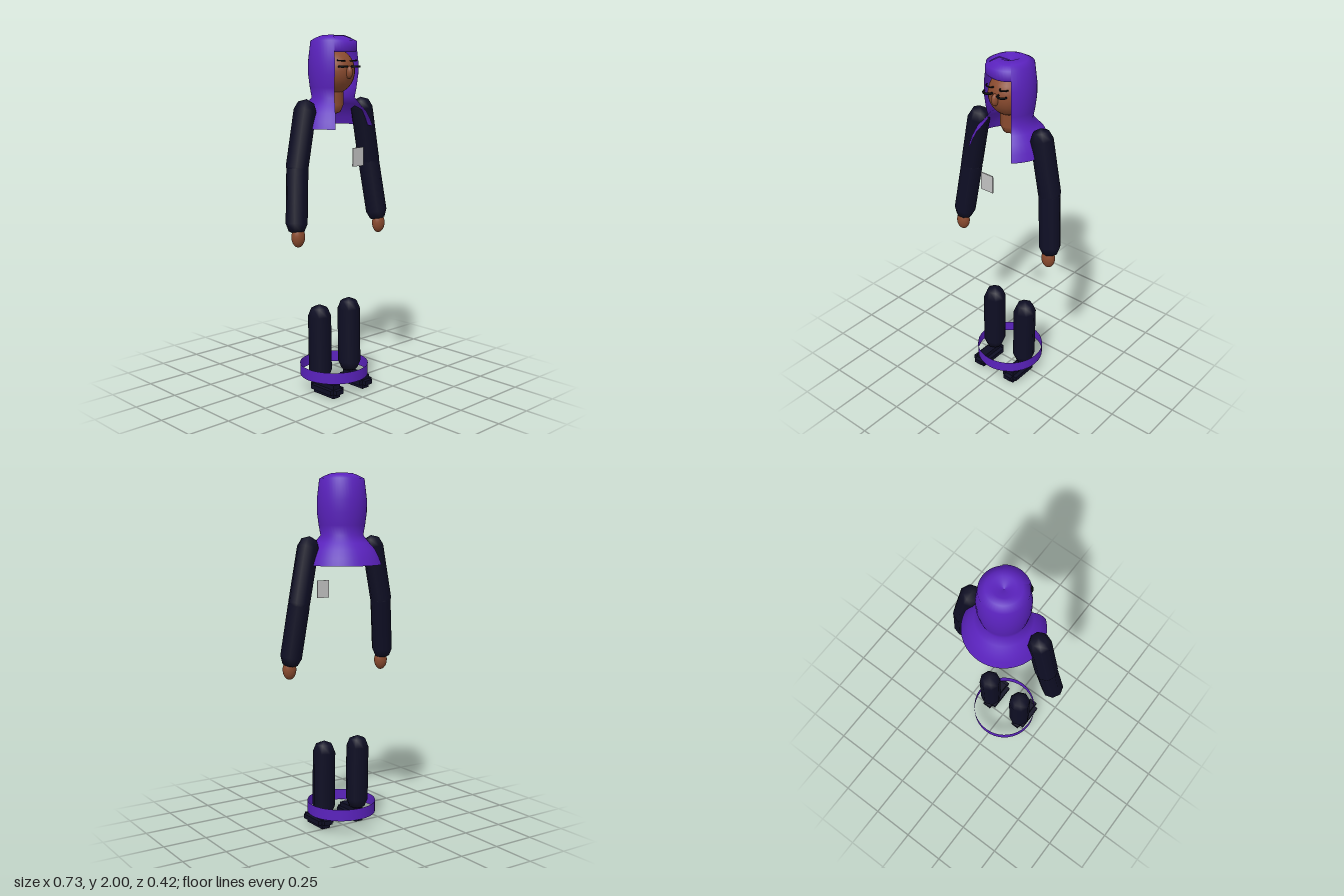
import * as THREE from 'three';

const paint = (name, color, side = THREE.FrontSide) => {
  const m = new THREE.MeshStandardMaterial({ color, side });
  m.name = name;
  return m;
};

export function createModel() {
  const model = new THREE.Group();
  const purple = paint('purple cloth', 0x5a22bd, THREE.DoubleSide);
  const navy = paint('dark navy cloth', 0x0e0e24);
  const skin = paint('brown skin', 0x8a4b2f);
  const black = paint('black', 0x0a0a0c);
  const silver = paint('silver', 0xc4c4c4);

  const add = (name, geometry, material, x = 0, y = 0, z = 0) => {
    const mesh = new THREE.Mesh(geometry, material);
    mesh.name = name;
    mesh.position.set(x, y, z);
    model.add(mesh);
    return mesh;
  };
  const ball = (name, material, pos, size) => {
    const mesh = add(name, new THREE.SphereGeometry(1, 24, 16), material, ...pos);
    mesh.scale.set(...size);
    return mesh;
  };
  // Low-sided capsule between two end centres
  const limb = (name, material, from, to, r) => {
    const a = new THREE.Vector3(...from), b = new THREE.Vector3(...to);
    const dir = b.clone().sub(a);
    const mesh = add(name, new THREE.CapsuleGeometry(r, dir.length(), 2, 8), material);
    mesh.position.copy(a).add(b).multiplyScalar(0.5);
    mesh.quaternion.setFromUnitVectors(new THREE.Vector3(0, 1, 0), dir.normalize());
    return mesh;
  };
  const lathe = (name, pts, segments, start, length) =>
    add(name, new THREE.LatheGeometry(pts.map(p => new THREE.Vector2(...p)), segments, start, length),
      purple, 0, 0, 0.01);

  // Hood with an open front, dimpled crown and flared shoulder cape
  const gap = 0.7;
  lathe('hood', [
    [0.22, 1.505], [0.205, 1.545], [0.182, 1.59], [0.15, 1.625], [0.118, 1.665],
    [0.128, 1.72], [0.137, 1.79], [0.137, 1.86], [0.124, 1.97], [0.09, 1.988], [0.057, 2], [0, 1.975],
  ], 36, gap, Math.PI * 2 - gap * 2);
  lathe('hoodBrow', [
    [0.118, 1.908], [0.13, 1.92], [0.13, 1.968], [0.09, 1.985], [0.057, 1.997], [0, 1.973],
  ], 10, -gap, gap * 2);

  // Head and neck
  ball('head', skin, [0, 1.807, 0.01], [0.113, 0.124, 0.125]);
  ball('nose', skin, [0, 1.802, 0.132], [0.018, 0.034, 0.024]);
  limb('neck', skin, [0, 1.625, 0.01], [0, 1.72, 0.01], 0.056);

  // Badge on the chest
  add('badge', new THREE.BoxGeometry(0.08, 0.1, 0.007), silver, 0, 1.353, 0.204);

  // Hem band of the robe
  add('hemBand', new THREE.CylinderGeometry(0.195, 0.195, 0.065, 40, 1, true), purple, 0, 0.118, 0.017);

  for (const s of [1, -1]) {
    // Closed eye with lashes, and brow: half rings lying flat
    const eye = add('eye', new THREE.TorusGeometry(0.026, 0.006, 6, 16, Math.PI), black, s * 0.047, 1.832, 0.13);
    eye.rotation.x = Math.PI / 2;
    const brow = add('eyebrow', new THREE.TorusGeometry(0.023, 0.004, 6, 16, Math.PI), black, s * 0.045, 1.863, 0.113);
    brow.rotation.set(Math.PI / 2, s * 0.08, 0);

    // Arm
    limb('upperArm', navy, [s * 0.215, 1.602, 0.018], [s * 0.274, 1.3, 0.018], 0.061);
    limb('forearm', navy, [s * 0.274, 1.29, 0.02], [s * 0.308, 1.005, 0.05], 0.06);
    ball('hand', skin, [s * 0.31, 0.935, 0.065], [0.039, 0.057, 0.034]);

    // Leg
    limb('leg', navy, [s * 0.115, 0.45, 0.02], [s * 0.115, 0.135, 0.026], 0.065);

    // Shoe: crossed blocks that leave the corners stepped
    for (const [w, h, d] of [[0.052, 0.078, 0.16], [0.1, 0.026, 0.16], [0.052, 0.026, 0.21]])
      add('shoe', new THREE.BoxGeometry(w, h, d), navy, s * 0.115, 0.04, 0.081);
  }
  return model;
}
